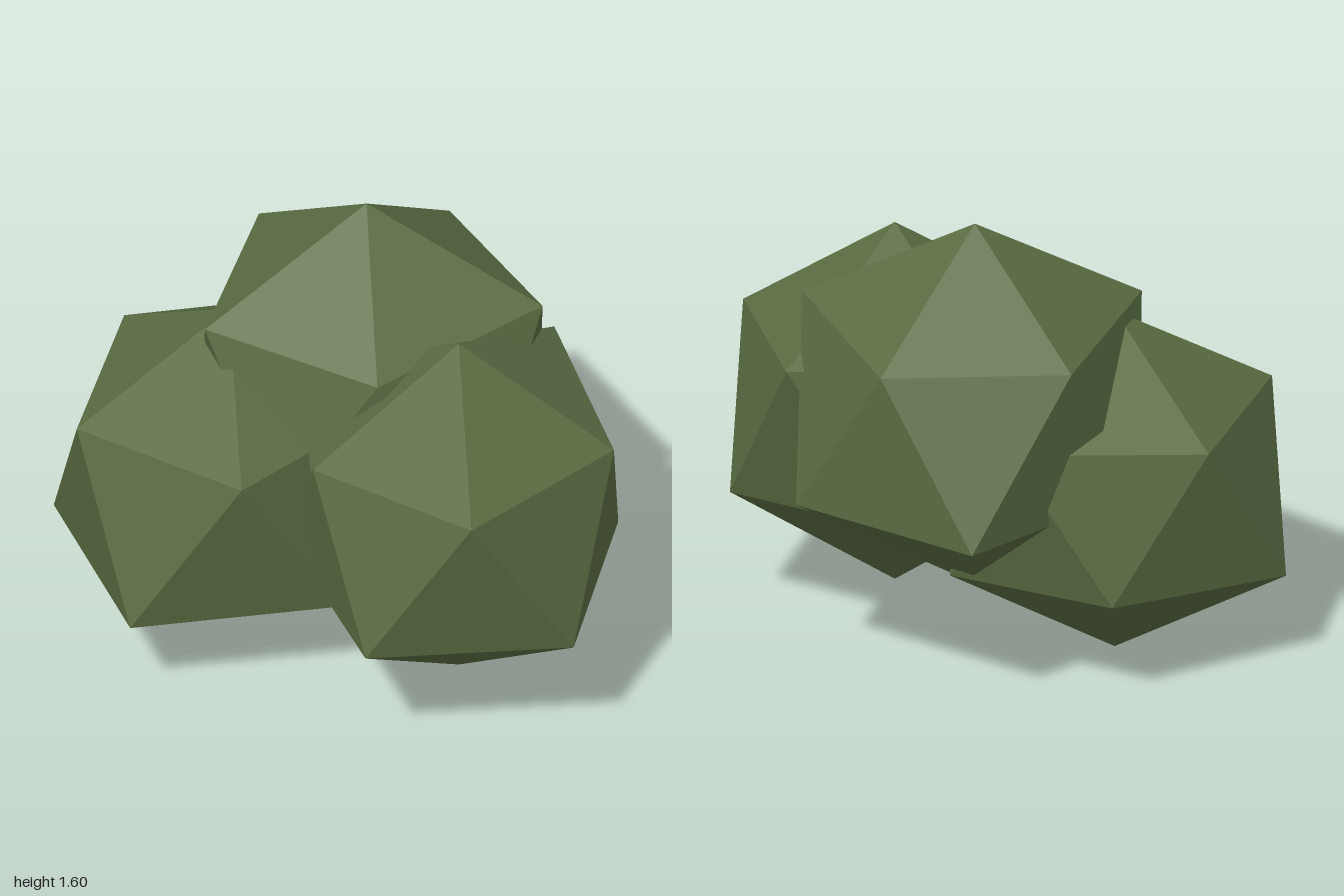
import * as THREE from 'three';

// Irregular icosahedron: each corner keeps its regular direction but has its own radius.
// Rings run from +x towards +z; the lower ring is turned by 36 degrees.
function lumpGeometry({ top, upper, lower, bottom }) {
  const ring = (radii, side) => radii.map((r, i) => {
    const a = (i * 72 + (side < 0 ? 36 : 0)) * Math.PI / 180;
    const h = 2 / Math.sqrt(5);
    return new THREE.Vector3(Math.cos(a) * h, side / Math.sqrt(5), Math.sin(a) * h).multiplyScalar(r);
  });
  const T = new THREE.Vector3(0, top, 0);
  const B = new THREE.Vector3(0, -bottom, 0);
  const U = ring(upper, 1);
  const L = ring(lower, -1);
  const points = [];
  for (let i = 0; i < 5; i++) {
    const j = (i + 1) % 5;
    points.push(T, U[j], U[i], U[i], U[j], L[i], L[i], U[j], L[j], B, L[i], L[j]);
  }
  const geometry = new THREE.BufferGeometry().setFromPoints(points);
  geometry.scale(1, 0.985, 1.085);
  geometry.computeVertexNormals();
  return geometry;
}

const LUMPS = [
  {
    name: 'rightFoliage', at: [-0.39, 0.646, 0.005], top: 0.61, bottom: 0.65,
    upper: [0.61, 0.685, 0.62, 0.615, 0.65], lower: [0.67, 0.704, 0.682, 0.585, 0.65],
  },
  {
    name: 'leftFoliage', at: [0.46, 0.755, 0.22], top: 0.63, bottom: 0.71,
    upper: [0.604, 0.682, 0.594, 0.61, 0.682], lower: [0.675, 0.665, 0.66, 0.61, 0.65],
  },
  {
    name: 'backFoliage', at: [0.04, 0.971, -0.21], top: 0.64, bottom: 0.71,
    upper: [0.686, 0.585, 0.658, 0.632, 0.592], lower: [0.68, 0.63, 0.65, 0.7, 0.705],
  },
];

export function createModel() {
  const bush = new THREE.Group();
  bush.name = 'bush';
  const leafGreen = new THREE.MeshStandardMaterial({ color: 0x5b6d43, flatShading: true });
  leafGreen.name = 'leafGreen';
  // Three overlapping clumps of foliage
  for (const lump of LUMPS) {
    const mesh = new THREE.Mesh(lumpGeometry(lump), leafGreen);
    mesh.name = lump.name;
    mesh.position.set(...lump.at);
    bush.add(mesh);
  }
  return bush;
}
